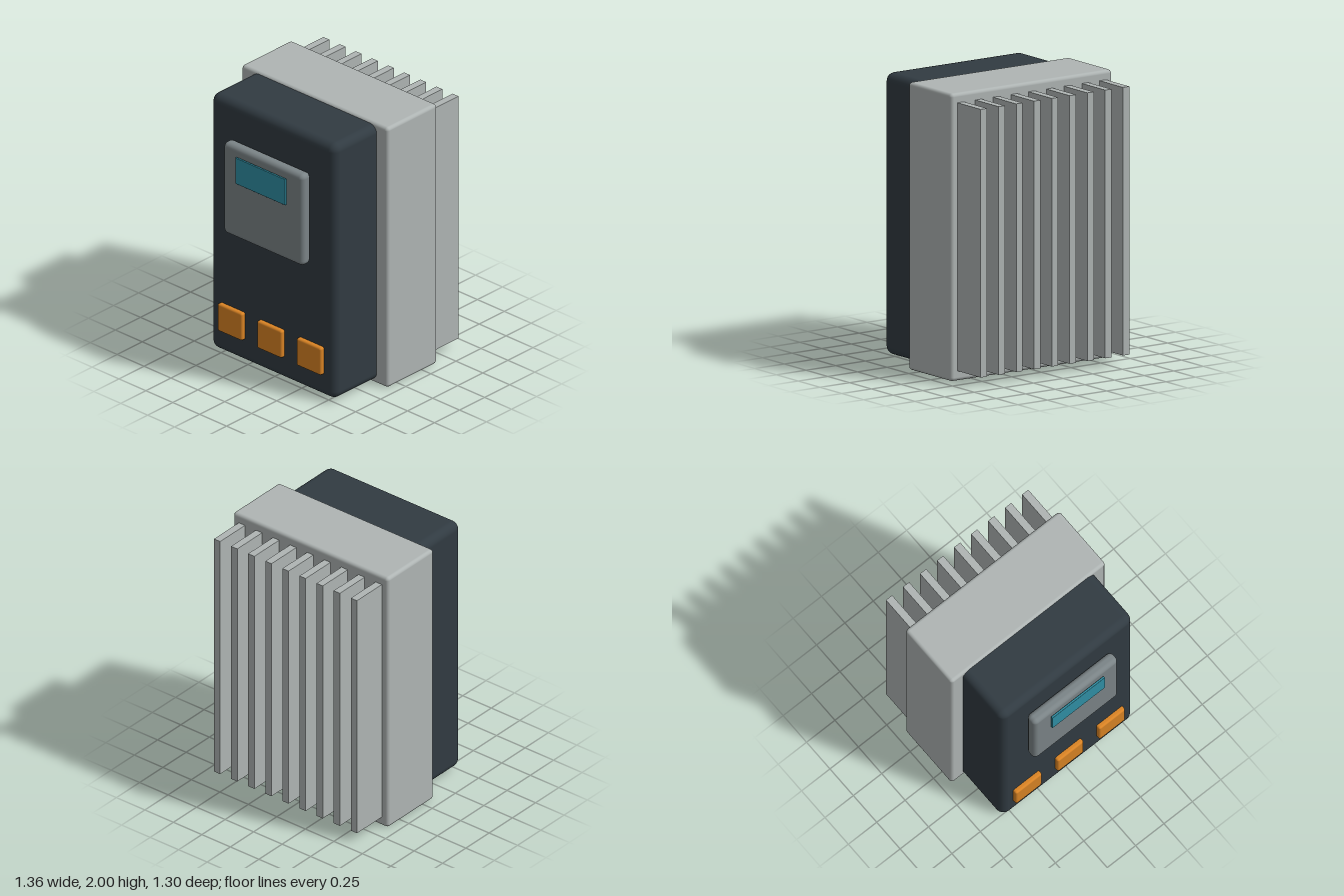
import * as THREE from 'three';
import { RoundedBoxGeometry } from 'three/addons/geometries/RoundedBoxGeometry.js';

const mat = (color) => new THREE.MeshStandardMaterial({ color });
const materials = {
  casing: mat(0xafb5b4),
  cover: mat(0x313b42),
  keypad: mat(0x7b8487),
  screen: mat(0x3090a5),
  orange: mat(0xd98324),
  green: mat(0x1f7a45),
  red: mat(0xa52222),
};

// Box given by its [min, max] extents, with an optional edge radius
function block(name, material, [x0, x1], [y0, y1], [z0, z1], radius = 0) {
  const size = [x1 - x0, y1 - y0, z1 - z0];
  const geometry = radius
    ? new RoundedBoxGeometry(...size, 3, radius)
    : new THREE.BoxGeometry(...size);
  const mesh = new THREE.Mesh(geometry, material);
  mesh.name = name;
  mesh.position.set((x0 + x1) / 2, (y0 + y1) / 2, (z0 + z1) / 2);
  return mesh;
}

export function createModel() {
  const model = new THREE.Group();
  model.name = 'motorDrive';

  // Main casing and front cover
  model.add(block('casing', materials.casing, [-0.68, 0.68], [0, 2], [-0.39, 0.107], 0.025));
  model.add(block('frontCover', materials.cover, [-0.58, 0.58], [0.025, 1.985], [0, 0.526], 0.06));

  // Cooling fins on the back
  const heatSink = new THREE.Group();
  heatSink.name = 'heatSink';
  for (let i = 0; i < 9; i++) {
    const x = -0.6 + i * 0.15;
    heatSink.add(block('fin', materials.casing, [x - 0.027, x + 0.027], [0.07, 1.935], [-0.657, -0.38]));
  }
  model.add(heatSink);

  // Keypad with its raised display
  model.add(block('keypad', materials.keypad, [-0.373, 0.37], [1.02, 1.72], [0.532, 0.622], 0.035));
  model.add(block('screen', materials.screen, [-0.234, 0.23], [1.456, 1.656], [0.629, 0.645], 0.004));

  // Start and stop keys tucked behind the keypad
  for (const [name, material, x] of [['startKey', materials.green, -0.233], ['stopKey', materials.red, 0.233]]) {
    model.add(block(name, material, [x - 0.06, x + 0.06], [1.14, 1.26], [0.51, 0.54], 0.006));
  }

  // Terminal covers along the bottom
  for (const x of [-0.368, 0, 0.366]) {
    model.add(block('terminalCover', materials.orange, [x - 0.115, x + 0.115], [0.2, 0.41], [0.48, 0.56], 0.016));
  }

  return model;
}
